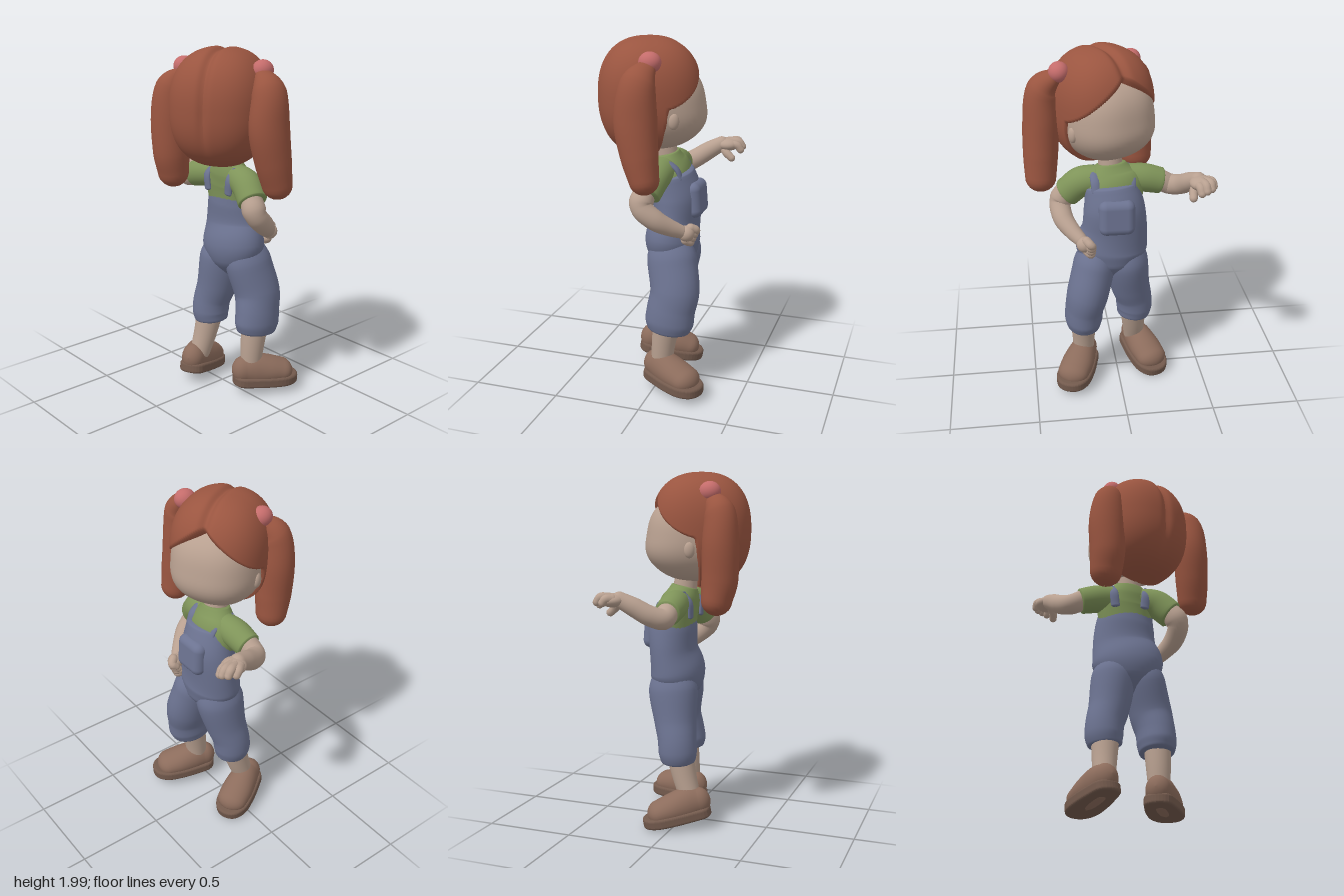
import * as THREE from 'three';
import { RoundedBoxGeometry } from 'three/addons/geometries/RoundedBoxGeometry.js';

const paint = (color) => new THREE.MeshStandardMaterial({ color, roughness: 0.8 });
const SKIN = paint(0xb8a090), HAIR = paint(0x9a5540), DENIM = paint(0x6c7391), SHIRT = paint(0x7f9459);
const SHOE = paint(0x8c6c5c), SOLE = paint(0x735a4d), TIE = paint(0xc46c6b);
const X = new THREE.Vector3(1, 0, 0), Y = new THREE.Vector3(0, 1, 0);

function add(parent, name, geometry, material, x = 0, y = 0, z = 0) {
  const mesh = new THREE.Mesh(geometry, material);
  mesh.name = name;
  mesh.position.set(x, y, z);
  parent.add(mesh);
  return mesh;
}

function ball(parent, name, material, [x, y, z], [rx, ry, rz]) {
  return add(parent, name, new THREE.SphereGeometry(1, 32, 20).scale(rx, ry, rz), material, x, y, z);
}

// Smooth loft through sections [x, y, z, radius along ref, radius across] with rounded ends
function loft(parent, name, material, sections, ref = X, cap = 1, sides = 28) {
  const path = new THREE.CatmullRomCurve3(sections.map((s) => new THREE.Vector3(s[0], s[1], s[2])));
  const radii = new THREE.CatmullRomCurve3(sections.map((s) => new THREE.Vector3(s[3], s[4] ?? s[3], 0)));
  const steps = (sections.length - 1) * 7, K = 6, rings = [];
  for (let k = 0; k < K; k++) rings.push([0, -Math.PI / 2 * (1 - k / K)]);
  for (let i = 0; i <= steps; i++) rings.push([i / steps, 0]);
  for (let k = 1; k <= K; k++) rings.push([1, Math.PI / 2 * (k / K)]);
  const pos = [], index = [];
  rings.forEach(([t, phi], i) => {
    const r = radii.getPoint(t), T = path.getTangent(t);
    const U = ref.clone().addScaledVector(T, -ref.dot(T)).normalize();
    const V = T.clone().cross(U);
    const c = path.getPoint(t).addScaledVector(T, Math.sin(phi) * cap * Math.min(r.x, r.y));
    const shrink = Math.max(Math.cos(phi), 0.01);
    for (let j = 0; j < sides; j++) {
      const a = j / sides * Math.PI * 2;
      const p = c.clone().addScaledVector(U, Math.cos(a) * r.x * shrink).addScaledVector(V, Math.sin(a) * r.y * shrink);
      pos.push(p.x, p.y, p.z);
      if (i < rings.length - 1) {
        const a0 = i * sides + j, b0 = i * sides + (j + 1) % sides;
        index.push(a0, b0, a0 + sides, b0, b0 + sides, a0 + sides);
      }
    }
  });
  const g = new THREE.BufferGeometry();
  g.setAttribute('position', new THREE.Float32BufferAttribute(pos, 3));
  g.setIndex(index);
  g.computeVertexNormals();
  return add(parent, name, g, material);
}

// Sphere made slightly boxy by a power norm, then reshaped point by point
function sculpt(columns, rows, power, radii, rule) {
  const g = new THREE.SphereGeometry(1, columns, rows), p = g.attributes.position;
  for (let i = 0; i < p.count; i++) {
    const d = [p.getX(i), p.getY(i), p.getZ(i)];
    const norm = d.reduce((sum, v) => sum + Math.abs(v) ** power, 0) ** (1 / power);
    const s = rule(...d) / norm;
    p.setXYZ(i, ...d.map((v, k) => v * radii[k] * s));
  }
  g.computeVertexNormals();
  return g;
}

// Hair cap: parting groove on top, sunk beneath the face below an arched hairline
function hairRule(x, y, z) {
  const az = Math.abs(z);
  const inside = Math.min(x - 0.27 - 0.2 * y, 0.62 - 0.62 * az - 0.16 * az * az - y);
  const inFace = THREE.MathUtils.smoothstep(inside, -0.03, 0.08);
  const groove = 0.065 * Math.exp(-((az / 0.09) ** 2)) * THREE.MathUtils.smoothstep(y, -0.8, 0);
  return (1 - groove) * (1 - 0.35 * inFace);
}

// Face: fuller cheeks and muzzle below the eye line
function faceRule(x, y) {
  return 1 + 0.07 * Math.exp(-(((y + 0.35) / 0.35) ** 2)) * (x > 0 ? x : 0);
}

function buildHead(model) {
  const head = new THREE.Group();
  head.name = 'head';
  head.position.set(-0.06, 0, 0.07);
  head.rotation.y = 0.47;
  model.add(head);
  add(head, 'face', sculpt(56, 40, 2.35, [0.272, 0.245, 0.25], faceRule), SKIN, 0.015, 1.638, 0);
  add(head, 'hairCap', sculpt(160, 110, 2.4, [0.28, 0.32, 0.27], hairRule), HAIR, -0.012, 1.68, 0);
  for (const s of [1, -1]) ball(head, 'ear', SKIN, [0.08, 1.58, s * 0.24], [0.03, 0.045, 0.022]);
}

function buildTails(model) {
  loft(model, 'rightPonytail', HAIR, [[0, 1.87, 0.32, 0.05, 0.04], [-0.025, 1.79, 0.39, 0.095, 0.085],
    [-0.035, 1.6, 0.405, 0.115, 0.1], [-0.01, 1.42, 0.415, 0.1, 0.095], [0.015, 1.3, 0.42, 0.08, 0.085]]);
  loft(model, 'leftPonytail', HAIR, [[-0.2, 1.85, -0.1, 0.05, 0.04], [-0.25, 1.78, -0.13, 0.085, 0.085],
    [-0.26, 1.6, -0.14, 0.1, 0.105], [-0.255, 1.42, -0.135, 0.1, 0.1], [-0.24, 1.31, -0.14, 0.085, 0.09]]);
  ball(model, 'rightHairTie', TIE, [0.01, 1.89, 0.305], [0.06, 0.055, 0.055]);
  ball(model, 'leftHairTie', TIE, [-0.185, 1.89, -0.1], [0.06, 0.055, 0.055]);
}

function buildClothes(model) {
  loft(model, 'neck', SKIN, [[0.01, 1.33, 0.035, 0.068], [0, 1.43, 0.04, 0.065]]);
  loft(model, 'shirt', SHIRT, [[0.05, 1.1, 0.02, 0.1, 0.15], [0.04, 1.24, 0.02, 0.105, 0.165],
    [0.02, 1.31, 0.03, 0.092, 0.13], [0.01, 1.36, 0.035, 0.074, 0.086]], X, 0.12);
  loft(model, 'rightSleeve', SHIRT, [[0.02, 1.28, 0.1, 0.075], [0, 1.255, 0.2, 0.084],
    [-0.025, 1.185, 0.275, 0.082]], X, 0.2);
  loft(model, 'leftSleeve', SHIRT, [[0.02, 1.28, -0.05, 0.072], [0.01, 1.265, -0.15, 0.08],
    [0.005, 1.24, -0.245, 0.074]], X, 0.2);
  loft(model, 'overallsBody', DENIM, [[0.06, 0.7, 0.045, 0.07, 0.06], [0.055, 0.79, 0.042, 0.137, 0.17],
    [0.052, 0.88, 0.036, 0.15, 0.204], [0.07, 1.0, 0.02, 0.13, 0.184], [0.074, 1.12, 0.022, 0.134, 0.172],
    [0.058, 1.25, 0.034, 0.108, 0.148]], X, 0.2, 40);
  loft(model, 'rightTrouserLeg', DENIM, [[0.08, 0.38, 0.205, 0.125, 0.1], [0.085, 0.43, 0.205, 0.14, 0.11],
    [0.093, 0.5, 0.2, 0.138, 0.111], [0.108, 0.6, 0.18, 0.14, 0.12], [0.078, 0.77, 0.138, 0.142, 0.12],
    [0.06, 0.91, 0.11, 0.095, 0.08]], X, 0.25);
  loft(model, 'leftTrouserLeg', DENIM, [[0, 0.38, -0.1, 0.1, 0.096], [0, 0.43, -0.105, 0.11, 0.106],
    [0.006, 0.5, -0.1, 0.111, 0.107], [0.025, 0.6, -0.075, 0.122, 0.115], [0.048, 0.77, -0.05, 0.142, 0.125],
    [0.06, 0.91, -0.04, 0.095, 0.085]], X, 0.25);
  // Flat shoulder straps and soft bib pocket
  for (const s of [1, -1]) {
    loft(model, 'strap', DENIM, [[0.125, 1.24, 0.03 + s * 0.095, 0.012, 0.026], [0.098, 1.295, 0.03 + s * 0.1, 0.012, 0.026],
      [0.02, 1.335, 0.03 + s * 0.102, 0.012, 0.026], [-0.055, 1.285, 0.03 + s * 0.095, 0.012, 0.026],
      [-0.06, 1.2, 0.03 + s * 0.085, 0.012, 0.026]], new THREE.Vector3(0.85, 0.5, 0), 1, 12);
  }
  const pocket = add(model, 'bibPocket', new RoundedBoxGeometry(0.09, 0.2, 0.2, 6, 0.044), DENIM, 0.183, 1.11, 0.02);
  pocket.rotation.z = 0.08;
}

// Each finger runs from its knuckle over a bent joint to its tip
function buildFingers(model, side, fingers) {
  for (const f of fingers) loft(model, side + 'Finger', SKIN, f.map((p, i) => [...p, 0.026 - i * 0.002]), Y, 1, 12);
}

function buildArms(model) {
  loft(model, 'rightArm', SKIN, [[-0.03, 1.2, 0.27, 0.06], [-0.04, 1.12, 0.315, 0.06], [0.03, 1.05, 0.305, 0.057],
    [0.1, 1, 0.26, 0.047], [0.15, 0.97, 0.22, 0.038]], new THREE.Vector3(0.3, 0.3, 0.9));
  ball(model, 'rightPalm', SKIN, [0.18, 0.955, 0.2], [0.045, 0.045, 0.045]);
  buildFingers(model, 'right', [0, 1, 2, 3].map((i) => {
    const d = i * 0.024;
    return [[0.2 - d * 0.4, 0.985 - d, 0.19], [0.225 - d * 0.45, 0.968 - d, 0.168], [0.205 - d * 0.5, 0.95 - d * 0.8, 0.158]];
  }));
  loft(model, 'leftArm', SKIN, [[0.005, 1.25, -0.23, 0.06], [0.005, 1.215, -0.3, 0.058], [0.06, 1.235, -0.35, 0.056],
    [0.14, 1.285, -0.388, 0.052], [0.21, 1.325, -0.415, 0.043]], Y);
  ball(model, 'leftPalm', SKIN, [0.245, 1.322, -0.427], [0.068, 0.038, 0.066]);
  buildFingers(model, 'left', [
    [[0.23, 1.33, -0.46], [0.258, 1.332, -0.481], [0.275, 1.312, -0.487]],
    [[0.25, 1.335, -0.445], [0.295, 1.34, -0.466], [0.313, 1.315, -0.47]],
    [[0.26, 1.335, -0.425], [0.31, 1.335, -0.438], [0.33, 1.31, -0.442]],
    [[0.26, 1.325, -0.4], [0.305, 1.32, -0.41], [0.325, 1.295, -0.415]],
    [[0.22, 1.305, -0.405], [0.25, 1.275, -0.385], [0.28, 1.25, -0.38]],
  ]);
}

function buildShoe(model, name, [x, y, z], yaw, pitch) {
  const shoe = new THREE.Group();
  shoe.name = name;
  shoe.position.set(x, y, z);
  shoe.rotation.set(0, yaw, pitch);
  model.add(shoe);
  loft(shoe, 'shoeUpper', SHOE, [[-0.03, 0.09, 0, 0.08, 0.068], [0.03, 0.09, 0, 0.095, 0.082],
    [0.12, 0.08, 0, 0.085, 0.094], [0.2, 0.07, 0, 0.07, 0.092]], Y, 1);
  const half = [[-0.075, 0], [-0.055, 0.053], [0.02, 0.074], [0.13, 0.088], [0.22, 0.084], [0.275, 0.05], [0.29, 0]];
  const outline = [...half, ...half.slice(1, -1).reverse().map(([a, b]) => [a, -b])].reverse();
  const curve = new THREE.CatmullRomCurve3(outline.map(([a, b]) => new THREE.Vector3(a, b, 0)), true);
  const shape = new THREE.Shape(curve.getPoints(48).slice(0, -1).map((p) => new THREE.Vector2(p.x, p.y)));
  const sole = new THREE.ExtrudeGeometry(shape, { depth: 0.03, bevelSize: 0.014, bevelThickness: 0.014, bevelSegments: 4 });
  add(shoe, 'shoeSole', sole.rotateX(-Math.PI / 2), SOLE, 0, 0.014, 0);
}

function buildFeet(model) {
  loft(model, 'rightShin', SKIN, [[0.04, 0.17, 0.205, 0.06], [0.05, 0.28, 0.205, 0.068], [0.07, 0.42, 0.205, 0.078]]);
  loft(model, 'leftShin', SKIN, [[-0.08, 0.17, -0.115, 0.06], [-0.045, 0.28, -0.108, 0.068], [-0.01, 0.42, -0.1, 0.078]]);
  buildShoe(model, 'rightShoe', [0.02, 0.052, 0.2], -0.42, -0.05);
  buildShoe(model, 'leftShoe', [-0.12, 0.061, -0.12], 0.41, -0.2);
}

export function createModel() {
  const model = new THREE.Group();
  model.name = 'girlInOveralls';
  for (const build of [buildHead, buildTails, buildClothes, buildArms, buildFeet]) build(model);
  return model;
}
